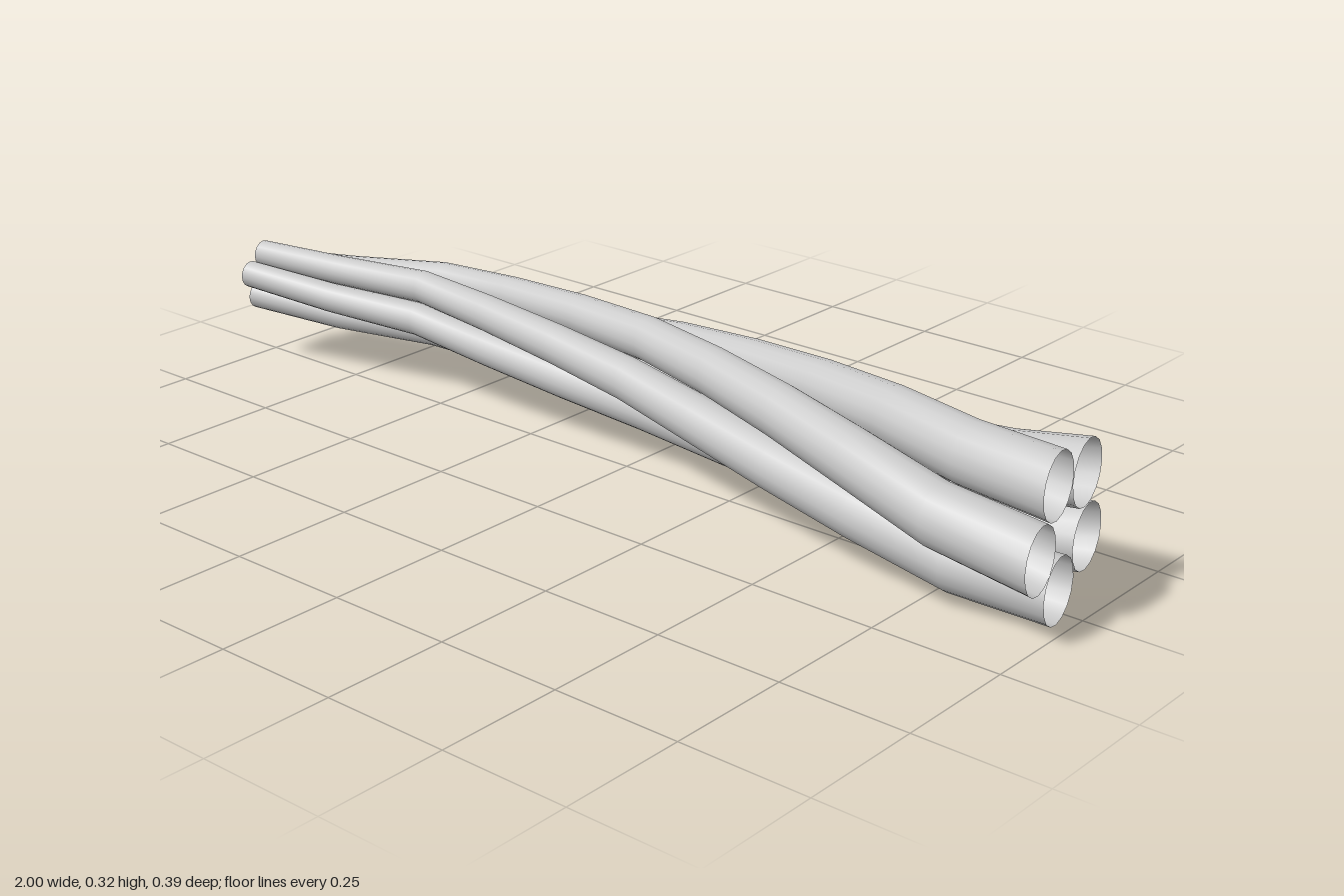
import * as THREE from 'three';

// Bundle spine: [x, y, z, slope dz/dx of the cross-section normal]
const SPINE = [
  [-0.992, 0.182, 0.025, -0.12],
  [-0.8, 0.177, -0.022, -0.27],
  [-0.6, 0.175, -0.087, -0.15],
  [-0.4, 0.175, -0.090, 0],
  [-0.2, 0.175, -0.090, 0.01],
  [0, 0.175, -0.086, 0.06],
  [0.2, 0.174, -0.063, 0.13],
  [0.4, 0.174, -0.033, 0.16],
  [0.6, 0.174, 0.0, 0.17],
  [0.8, 0.173, 0.035, 0.05],
  [0.972, 0.172, 0.024, -0.15],
];
const STRANDS = 5;
const SIDES = 16;
const TWIST = 85.5; // degrees per unit of length

// One open, tapering tube winding around the spine
function strandGeometry(k) {
  const positions = [];
  const index = [];
  SPINE.forEach(([x, y, z, slope], i) => {
    const u = x + 1;
    const bundleRadius = 0.0735 + 0.0385 * u + 0.0046 * u * u;
    const radius = bundleRadius * 0.368;
    const ring = bundleRadius - radius;
    const angle = THREE.MathUtils.degToRad(61 + TWIST * (1 - x) + (k * 360) / STRANDS);
    const side = new THREE.Vector3(-slope, 0, 1).normalize();
    for (let j = 0; j < SIDES; j++) {
      const a = (j / SIDES) * Math.PI * 2;
      const across = ring * Math.cos(angle) + radius * Math.cos(a);
      const up = ring * Math.sin(angle) + radius * Math.sin(a);
      positions.push(x + side.x * across, y + up, z + side.z * across);
      if (i < SPINE.length - 1) {
        const p = i * SIDES + j;
        const q = i * SIDES + ((j + 1) % SIDES);
        index.push(p, p + SIDES, q, q, p + SIDES, q + SIDES);
      }
    }
  });
  const geometry = new THREE.BufferGeometry();
  geometry.setAttribute('position', new THREE.Float32BufferAttribute(positions, 3));
  geometry.setIndex(index);
  geometry.computeVertexNormals();
  return geometry;
}

export function createModel() {
  const group = new THREE.Group();
  group.name = 'twistedTubeBundle';
  const material = new THREE.MeshStandardMaterial({ color: 0xcccccc, side: THREE.DoubleSide });
  for (let k = 0; k < STRANDS; k++) {
    const strand = new THREE.Mesh(strandGeometry(k), material);
    strand.name = `tubeStrand${k + 1}`;
    group.add(strand);
  }
  return group;
}
